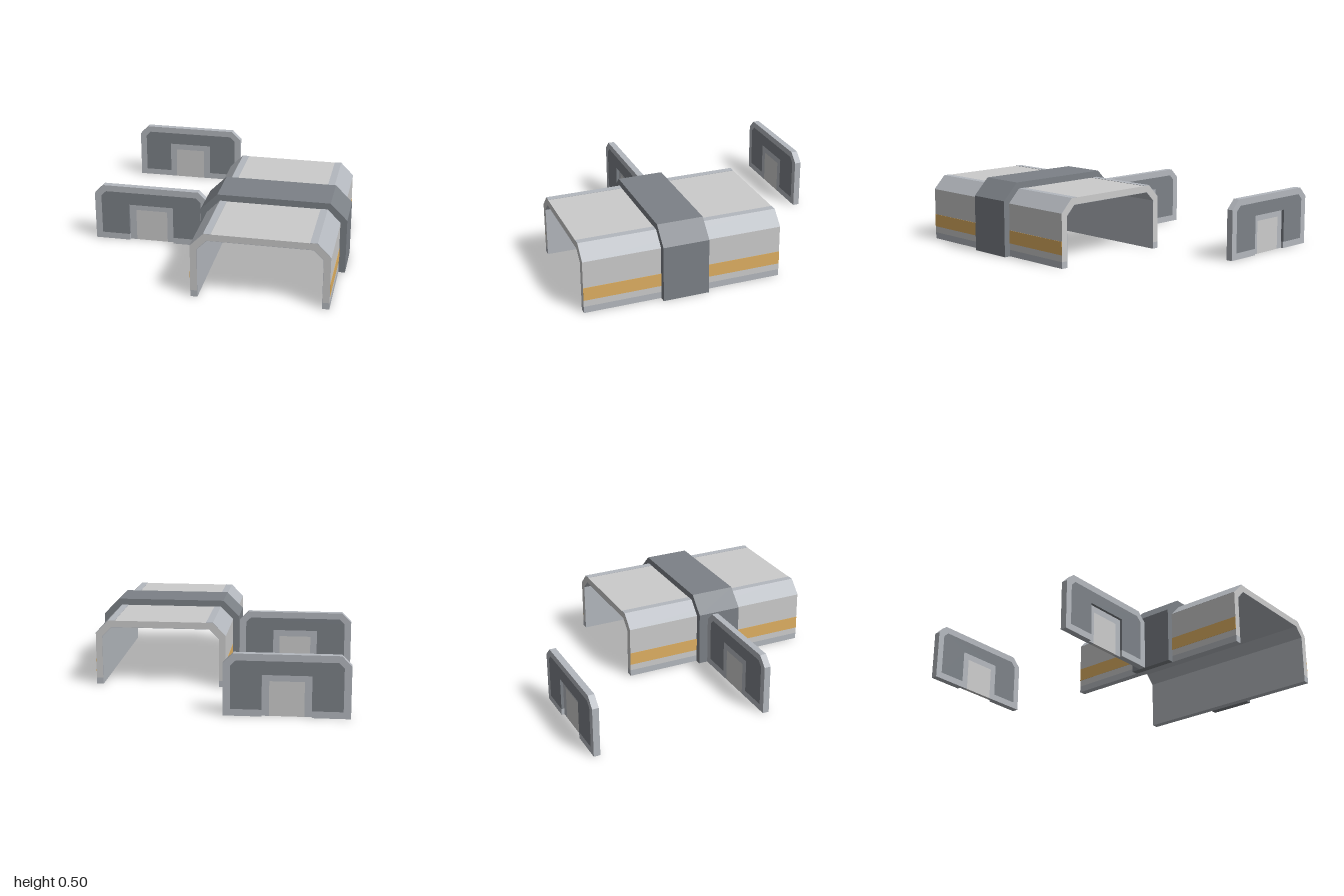
import * as THREE from 'three';

const material = (color) => new THREE.MeshStandardMaterial({ color, flatShading: true });
const LIGHT = material(0xcccccc);
const TRIM = material(0xb4b8be);
const DARK = material(0x7c8187);
const ORANGE = material(0xdfb062);

// Extrudes an outline along z, from z0 to z1
function slab(name, points, z0, z1, mat) {
  const shape = new THREE.Shape(points.map(([x, y]) => new THREE.Vector2(x, y)));
  const geo = new THREE.ExtrudeGeometry(shape, { depth: z1 - z0, bevelEnabled: false });
  geo.translate(0, 0, z0);
  const mesh = new THREE.Mesh(geo, mat);
  mesh.name = name;
  return mesh;
}

// Chamfered portal line: left foot, over the top, right foot
const portal = (half, top, cut, foot = 0) => [
  [-half, foot], [-half, top - cut], [-half + cut, top],
  [half - cut, top], [half, top - cut], [half, foot],
];

// Closed outline between an outer and an inner portal line
const arch = (outer, inner) => [...outer, ...[...inner].reverse()];

const rect = (x0, x1, y0, y1) => [[x0, y0], [x1, y0], [x1, y1], [x0, y1]];

function createTunnel() {
  const g = new THREE.Group();
  g.name = 'tunnel';
  const z0 = -0.365, z1 = 1, base = 0.045, skin = 0.002;

  // Main shell and its inner lining
  g.add(slab('tunnelShell', arch(portal(0.4525, 0.455, 0.09, base), portal(0.4075, 0.41, 0.065, base)), z0, z1, LIGHT));
  g.add(slab('tunnelLining', arch(portal(0.4075, 0.41, 0.065), portal(0.4055, 0.408, 0.065)), z0, z1, TRIM));

  // Mirrored details: skirting, painted stripe, chamfer and roof edge
  for (const s of [-1, 1]) {
    const side = (pts) => pts.map(([x, y]) => [x * s, y]);
    g.add(slab('skirting', side(rect(0.4075, 0.4525, 0, base)), z0, z1, TRIM));
    g.add(slab('sideStripe', side(rect(0.4525, 0.4525 + skin, 0.09, 0.18)), z0, z1, ORANGE));
    g.add(slab('chamferTrim', side([
      [0.4525, 0.365], [0.4525 + skin, 0.365], [0.3625 + skin, 0.455 + skin],
      [0.3175, 0.455 + skin], [0.3175, 0.455], [0.3625, 0.455],
    ]), z0, z1, TRIM));
  }

  // Reinforcing collar around the middle
  g.add(slab('collar', arch(portal(0.4975, 0.5, 0.115), portal(0.4525, 0.455, 0.09)), 0.16, 0.475, DARK));
  return g;
}

// End wall facing +z, with a doorway recessed on that face
function createEndWall(name) {
  const g = new THREE.Group();
  g.name = name;
  const d = 0.0225, recess = 0.02;
  const door = 0.16, doorTop = 0.275, rim = 0.045;

  // Rim, open at the doorway
  const field = portal(0.36, 0.365, 0.035, rim);
  g.add(slab('wallRim', [
    ...portal(0.4075, 0.41, 0.065),
    [door, 0], [door, rim], ...[...field].reverse(), [-door, rim], [-door, 0],
  ], -d, d, TRIM));

  // Dark wall field around the doorway
  g.add(slab('wallField', [
    ...field, [door, rim], [door, doorTop], [-door, doorTop], [-door, rim],
  ], -d, d, DARK));

  // Door frame and leaf
  const leaf = 0.1125, leafTop = 0.23;
  g.add(slab('doorFrame', [
    [-door, 0], [-door, doorTop], [door, doorTop], [door, 0],
    [leaf, 0], [leaf, leafTop], [-leaf, leafTop], [-leaf, 0],
  ], -d, d - recess, TRIM));
  g.add(slab('doorLeaf', rect(-leaf, leaf, 0, leafTop), -d, d - recess, LIGHT));
  return g;
}

export function createModel() {
  const model = new THREE.Group();
  model.name = 'corridorKit';

  const tunnel = createTunnel();
  tunnel.position.x = 0.4075;
  model.add(tunnel);

  const frontWall = createEndWall('frontEndWall');
  frontWall.position.set(-0.4975, 0, 0.2475);
  model.add(frontWall);

  // The rear wall faces away from the front wall
  const rearWall = createEndWall('rearEndWall');
  rearWall.position.set(-0.4975, 0, -0.9775);
  rearWall.rotation.y = Math.PI;
  model.add(rearWall);

  return model;
}
